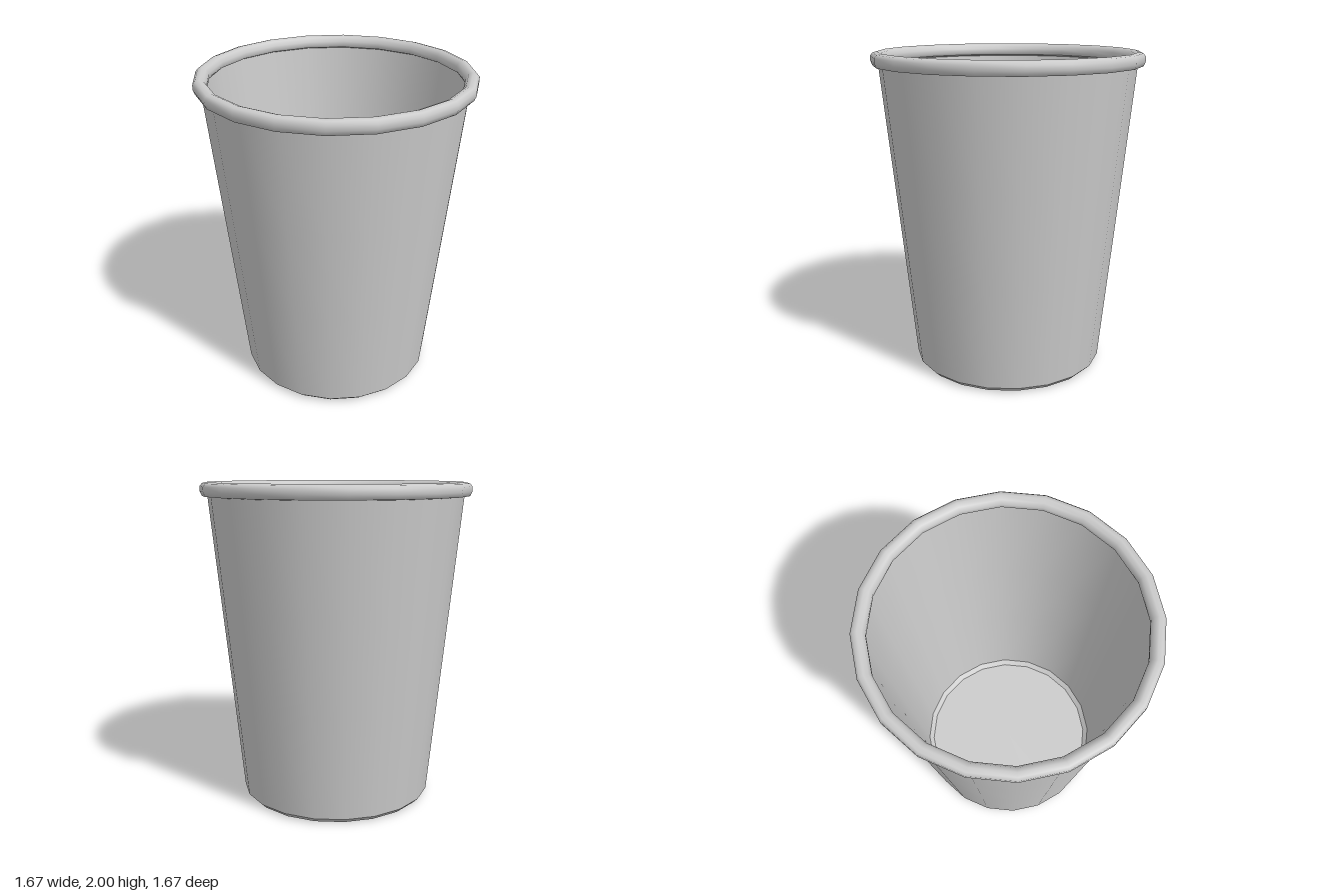
import * as THREE from 'three';

const SIDES = 20;

export function createModel() {
  const cup = new THREE.Group();
  cup.name = 'cup';

  const grey = new THREE.MeshStandardMaterial({ color: 0xcccccc, side: THREE.DoubleSide });
  const pale = new THREE.MeshStandardMaterial({ color: 0xf4f4f4, side: THREE.DoubleSide });

  // Revolves [radius, height] points, listed from bottom to top on the outside
  function addLathe(name, profile, material) {
    const points = profile.map(([r, y]) => new THREE.Vector2(r, y));
    const mesh = new THREE.Mesh(new THREE.LatheGeometry(points, SIDES), material);
    mesh.name = name;
    cup.add(mesh);
  }

  // Radius of the thin tapered wall at a given height
  const wallRadius = (y) => THREE.MathUtils.mapLinear(y, 0.03, 1.94, 0.605, 0.792);
  const wall = (from, to) => [from, to].map((y) => [wallRadius(y), y]);

  // Base: flat floor with a small bevel up to the wall
  addLathe('floor', [[0, 0], [0.575, 0]], grey);
  addLathe('baseBevel', [[0.575, 0], [0.605, 0.03]], grey);

  // Wall in three stacked bands
  addLathe('lowerWall', wall(0.03, 0.69), grey);
  addLathe('middleBand', wall(0.69, 1.26), pale);
  addLathe('upperWall', wall(1.26, 1.94), grey);

  // Rolled rim, a closed rounded section around the top edge
  addLathe('rim', [
    [0.765, 1.925], [0.79, 1.915], [0.824, 1.918], [0.835, 1.945], [0.835, 1.975],
    [0.82, 1.993], [0.795, 2], [0.77, 1.99], [0.755, 1.965], [0.755, 1.94], [0.765, 1.925],
  ], grey);

  return cup;
}
